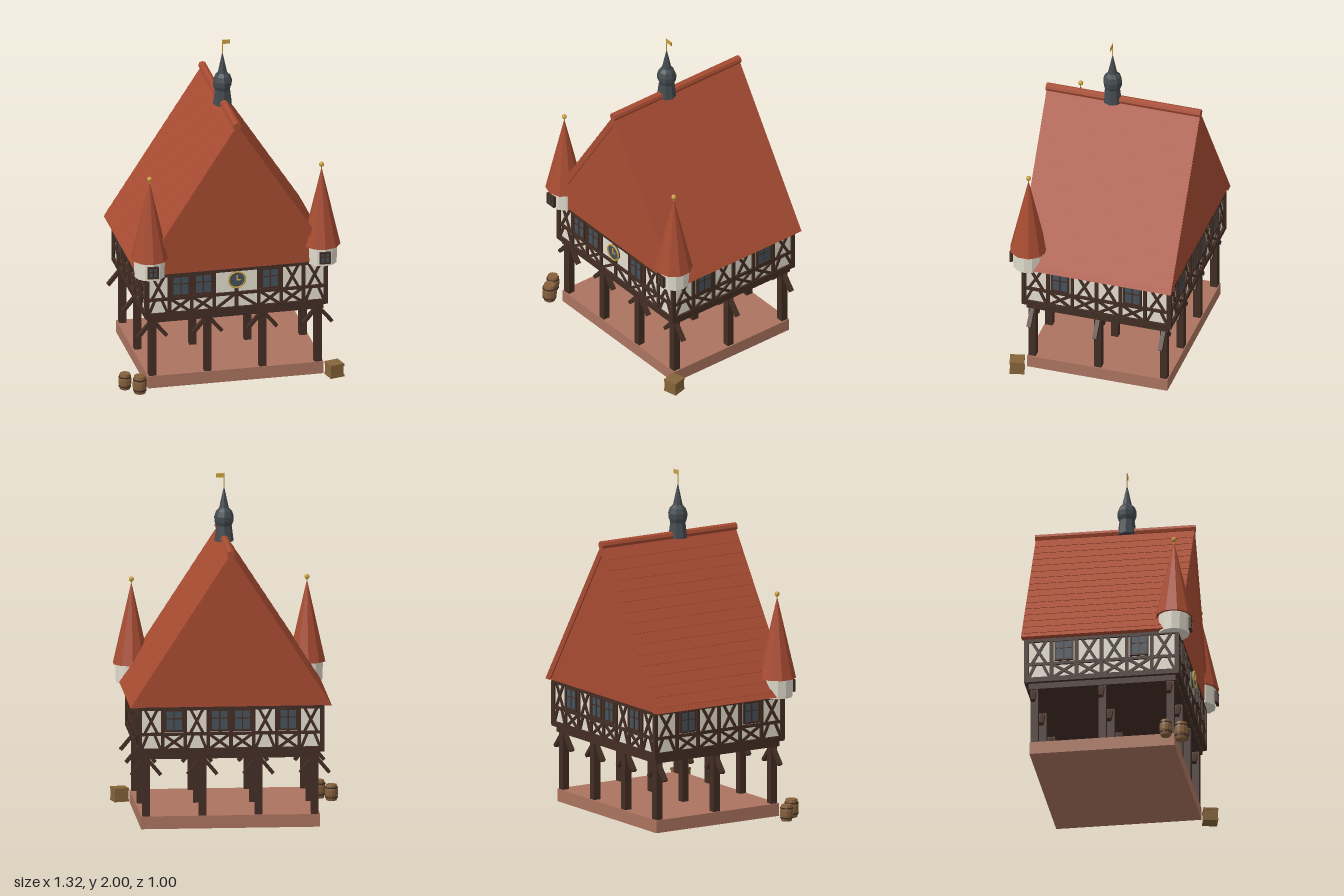
import * as THREE from 'three';

const mat = (name, color) => {
  const m = new THREE.MeshStandardMaterial({ color, flatShading: true });
  m.name = name;
  return m;
};

export function createModel() {
  const M = {
    tile: mat('roof tile', 0xa84c32), timber: mat('dark timber', 0x432e24),
    plaster: mat('plaster', 0xe4decf), stone: mat('sandstone', 0xac7460),
    slate: mat('slate', 0x444b50), glass: mat('window glass', 0x46515b),
    gold: mat('gold', 0xc9a040), barrel: mat('barrel wood', 0x86603c),
    crate: mat('crate wood', 0x86643a),
  };
  const root = new THREE.Group();
  root.name = 'timberedHall';
  const house = new THREE.Group();
  house.name = 'house';
  house.position.set(0.03, 0, -0.033);
  root.add(house);

  const add = (parent, name, geo, m, x = 0, y = 0, z = 0) => {
    const mesh = new THREE.Mesh(geo, m);
    mesh.name = name;
    mesh.position.set(x, y, z);
    parent.add(mesh);
    return mesh;
  };
  const box = (parent, name, m, w, h, d, x, y, z) =>
    add(parent, name, new THREE.BoxGeometry(w, h, d), m, x, y, z);
  const group = (parent, name, x = 0, y = 0, z = 0) => {
    const g = new THREE.Group();
    g.name = name;
    g.position.set(x, y, z);
    parent.add(g);
    return g;
  };
  // straight beam between two points of an x-y plane
  const beam = (parent, name, m, x1, y1, x2, y2, w, d, z) => {
    const b = box(parent, name, m, Math.hypot(x2 - x1, y2 - y1), w, d, (x1 + x2) / 2, (y1 + y2) / 2, z);
    b.rotation.z = Math.atan2(y2 - y1, x2 - x1);
    return b;
  };
  const lathe = (parent, name, pts, seg, m, x, y, z) =>
    add(parent, name, new THREE.LatheGeometry(pts.map(p => new THREE.Vector2(...p)), seg), m, x, y, z);

  // plinth, open ground floor and its braced posts
  box(house, 'plinth', M.stone, 1.04, 0.075, 0.85, 0, 0.0375, 0);
  for (const x of [-0.49, -0.163, 0.163, 0.49]) {
    for (const z of [-0.398, 0, 0.398]) {
      box(house, 'post', M.timber, 0.043, 0.35, 0.043, x, 0.245, z);
      for (const s of [-1, 1])
        beam(house, 'postBrace', M.timber, x + s * 0.01, 0.405, x + s * 0.085, 0.315, 0.02, 0.026, z);
    }
  }
  box(house, 'floorBeams', M.timber, 1.04, 0.04, 0.86, 0, 0.433, 0);

  // upper storey
  box(house, 'upperWalls', M.plaster, 1.06, 0.27, 0.88, 0, 0.585, 0);

  const windowAt = (parent, x, y, w, h, z) => {
    const g = group(parent, 'window', x, y, z);
    box(g, 'pane', M.glass, w, h, 0.008, 0, 0, 0);
    for (const s of [-1, 1]) {
      box(g, 'jamb', M.timber, 0.01, h + 0.01, 0.016, s * w / 2, 0, 0.002);
      box(g, 'rail', M.timber, w, 0.01, 0.016, 0, s * h / 2, 0.002);
    }
    box(g, 'mullion', M.timber, 0.007, h, 0.012, 0, 0, 0.002);
    box(g, 'crossbar', M.timber, w, 0.006, 0.012, 0, h * 0.1, 0.002);
  };

  // One framed wall: each letter is a bay
  // W window over cross, M braced full height, X double cross, L and R plain over a diagonal
  const framedWall = (name, bays, width, dist, turn) => {
    const g = group(house, name);
    g.rotation.y = turn;
    const bw = width / bays.length, z = dist + 0.002, d = 0.018;
    const y0 = 0.475, y1 = 0.555, y2 = 0.57, y3 = 0.705;
    const bar = (a, b, c, e, w = 0.016) => beam(g, 'brace', M.timber, a, b, c, e, w, d - 0.004, z);
    box(g, 'sill', M.timber, width + 0.02, 0.03, d + 0.004, 0, 0.463, z);
    box(g, 'middleRail', M.timber, width, 0.018, d, 0, 0.562, z);
    box(g, 'topPlate', M.timber, width + 0.02, 0.02, d + 0.004, 0, 0.712, z);
    for (let i = 0; i <= bays.length; i++)
      box(g, 'stud', M.timber, i % bays.length ? 0.02 : 0.026, 0.26, d, -width / 2 + i * bw, 0.585, z);
    [...bays].forEach((k, i) => {
      const c = -width / 2 + (i + 0.5) * bw, h = bw / 2 - 0.012;
      if (k === 'W') windowAt(g, c, 0.642, 0.1, 0.12, z + 0.006);
      if (k === 'W' || k === 'X') {
        bar(c - h, y0, c + h, y1);
        bar(c - h, y1, c + h, y0);
      }
      if (k === 'M' || k === 'X') {
        bar(c - h * 0.65, y2, c + h * 0.65, y3);
        bar(c - h * 0.65, y3, c + h * 0.65, y2);
      }
      if (k === 'M') for (const s of [-1, 1]) bar(c + s * h, y0, c + s * h * 0.4, y1);
      if (k === 'L') bar(c - h, y0, c + h, y1);
      if (k === 'R') bar(c - h, y1, c + h, y0);
    });
    return g;
  };
  const front = framedWall('frontWall', 'MWWLRWXM', 1.06, 0.44, 0);
  framedWall('backWall', 'MWMWWMWM', 1.06, 0.44, Math.PI);
  framedWall('leftWall', 'MWXXWM', 0.88, 0.53, Math.PI / 2);
  framedWall('rightWall', 'MWXXWM', 0.88, 0.53, -Math.PI / 2);

  // clock over the middle stud
  const clock = group(front, 'clock', 0, 0.653, 0.458);
  const dial = add(clock, 'dial', new THREE.CylinderGeometry(0.05, 0.05, 0.012, 20), M.glass);
  dial.rotation.x = Math.PI / 2;
  add(clock, 'dialRing', new THREE.TorusGeometry(0.049, 0.005, 6, 20), M.gold, 0, 0, 0.006);
  box(clock, 'minuteHand', M.gold, 0.006, 0.034, 0.004, 0, 0.014, 0.008);
  box(clock, 'hourHand', M.gold, 0.022, 0.006, 0.004, 0.01, 0, 0.008);

  // steep roof: infilled gables under a chevron-shaped covering
  const prism = (name, pts, depth) => {
    const geo = new THREE.ExtrudeGeometry(new THREE.Shape(pts.map(p => new THREE.Vector2(...p))),
      { depth, bevelEnabled: false });
    return add(house, name, geo, M.tile, 0, 0, -depth / 2);
  };
  prism('gables', [[-0.555, 0.722], [0.555, 0.722], [0, 1.575]], 0.914);
  prism('roofCovering',
    [[-0.585, 0.72], [-0.54, 0.72], [0, 1.555], [0.54, 0.72], [0.585, 0.72], [0, 1.62]], 0.93);
  const slope = Math.atan2(0.9, 0.585);
  for (const s of [-1, 1]) {
    for (let i = 1; i < 16; i++) {
      const t = i / 16;
      const row = box(house, 'tileCourse', M.tile, 0.064, 0.004, 0.926, s * 0.585 * t, 1.62 - 0.9 * t, 0);
      row.rotation.z = -s * (slope - 0.025);
    }
  }
  const ridge = add(house, 'ridgeCap', new THREE.CylinderGeometry(0.024, 0.024, 0.936, 8), M.tile, 0, 1.617, 0);
  ridge.rotation.x = Math.PI / 2;

  // ridge turret with bulb, needle and weather flag
  const spire = group(house, 'spire', 0, 0, 0.068);
  lathe(spire, 'spireBody', [[0, 1.6], [0.056, 1.6], [0.045, 1.69], [0.055, 1.715], [0.057, 1.745],
    [0.047, 1.775], [0.028, 1.795], [0.014, 1.86], [0, 1.925]], 8, M.slate, 0, 0, 0);
  add(spire, 'flagPole', new THREE.CylinderGeometry(0.003, 0.003, 0.1, 6), M.gold, 0, 1.95, 0);
  box(spire, 'flag', M.gold, 0.044, 0.025, 0.004, 0.023, 1.985, 0);

  // corner turrets
  for (const s of [-1, 1]) {
    const t = group(house, 'cornerTurret', s * 0.51, 0, 0.42);
    add(t, 'turretWall', new THREE.CylinderGeometry(0.093, 0.09, 0.115, 12), M.plaster, 0, 0.767, 0);
    add(t, 'turretRoof', new THREE.CylinderGeometry(0.002, 0.11, 0.47, 10), M.tile, 0, 1.055, 0);
    add(t, 'finialRod', new THREE.CylinderGeometry(0.003, 0.003, 0.05, 6), M.gold, 0, 1.29, 0);
    add(t, 'finialBall', new THREE.SphereGeometry(0.015, 10, 8), M.gold, 0, 1.315, 0);
    windowAt(t, 0, 0.765, 0.056, 0.062, 0.095);
  }

  // barrels and crate beside the plinth
  const barrel = (x, z, h, r) => {
    const b = group(root, 'barrel', x, 0, z);
    lathe(b, 'staves', [[0, 0], [r * 0.8, 0], [r, h * 0.35], [r, h * 0.65], [r * 0.8, h], [0, h]], 12, M.barrel, 0, 0, 0);
    for (const f of [0.2, 0.8])
      add(b, 'hoop', new THREE.CylinderGeometry(r * 0.97, r * 0.97, h * 0.08, 12), M.timber, 0, h * f, 0);
  };
  barrel(-0.62, 0.36, 0.095, 0.038);
  barrel(-0.55, 0.44, 0.107, 0.042);
  const crate = group(root, 'crate', 0.605, 0, 0.435);
  crate.rotation.y = 0.25;
  box(crate, 'crateBody', M.crate, 0.08, 0.078, 0.08, 0, 0.04, 0);
  for (const y of [0.008, 0.074])
    box(crate, 'crateBand', M.crate, 0.086, 0.014, 0.086, 0, y, 0);

  return root;
}
